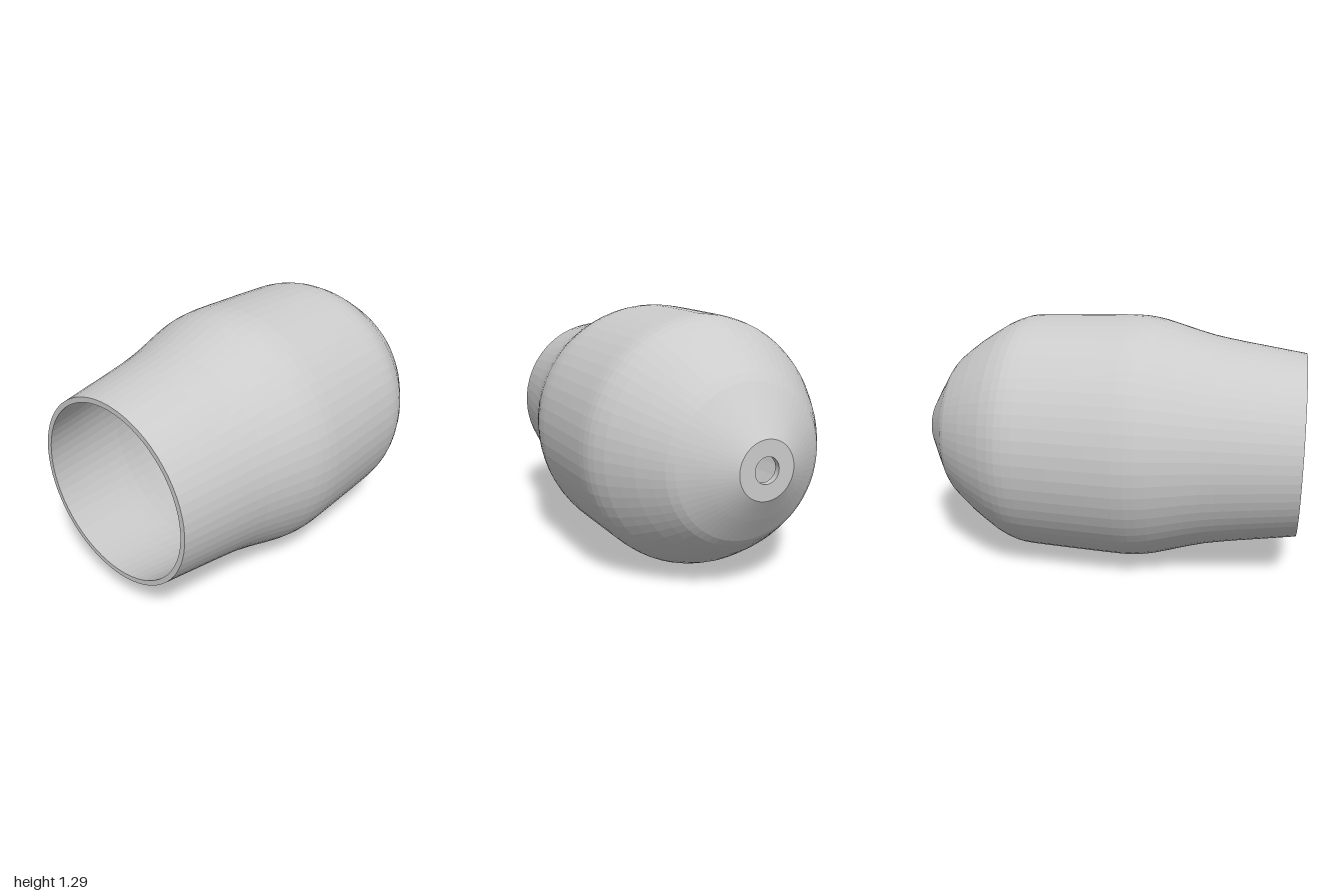
import * as THREE from 'three';

const AXIS_Y = 0.645;
const SIDES = 64;

// Turns [z, radius] pairs about the z axis.
function turned(name, pairs, material) {
  const points = pairs.map(([z, r]) => new THREE.Vector2(r, z));
  const geometry = new THREE.LatheGeometry(points, SIDES);
  geometry.rotateX(Math.PI / 2);
  const mesh = new THREE.Mesh(geometry, material);
  mesh.name = name;
  mesh.position.y = AXIS_Y;
  return mesh;
}

export function createModel() {
  const group = new THREE.Group();
  group.name = 'hollowShell';
  const material = new THREE.MeshStandardMaterial({ color: 0xcccccc, flatShading: true });

  // Outside: tapered tail, rounded shoulder, barrel, narrowing mouth
  const outer = [
    [-1, 0.14], [-0.93, 0.25], [-0.85, 0.37], [-0.82, 0.403], [-0.77, 0.443], [-0.7, 0.495],
    [-0.63, 0.54], [-0.56, 0.582], [-0.5, 0.609], [-0.46, 0.622], [-0.42, 0.629], [-0.37, 0.633],
    [-0.2, 0.638], [0, 0.643], [0.12, 0.645], [0.18, 0.642], [0.23, 0.635], [0.28, 0.624],
    [0.35, 0.604], [0.45, 0.574], [0.53, 0.553], [0.6, 0.539], [0.7, 0.522], [1, 0.475],
  ];

  // Inside follows the outside at a constant wall, down to a flat floor
  const wall = 0.026;
  const inner = outer.slice(1).reverse().map(([z, r]) => [z, r - wall]);
  const floorZ = -0.97;

  group.add(turned('shellOutside', outer, material));
  group.add(turned('mouthRim', [[1, 0.475], [1, 0.475 - wall]], material));
  group.add(turned('shellInside', [...inner, [floorZ, 0.14]], material));
  group.add(turned('innerFloor', [[floorZ, 0.14], [floorZ, 0.062]], material));
  group.add(turned('tailHole', [[floorZ, 0.062], [-1, 0.062]], material));
  group.add(turned('tailRing', [[-1, 0.062], [-1, 0.14]], material));
  return group;
}
